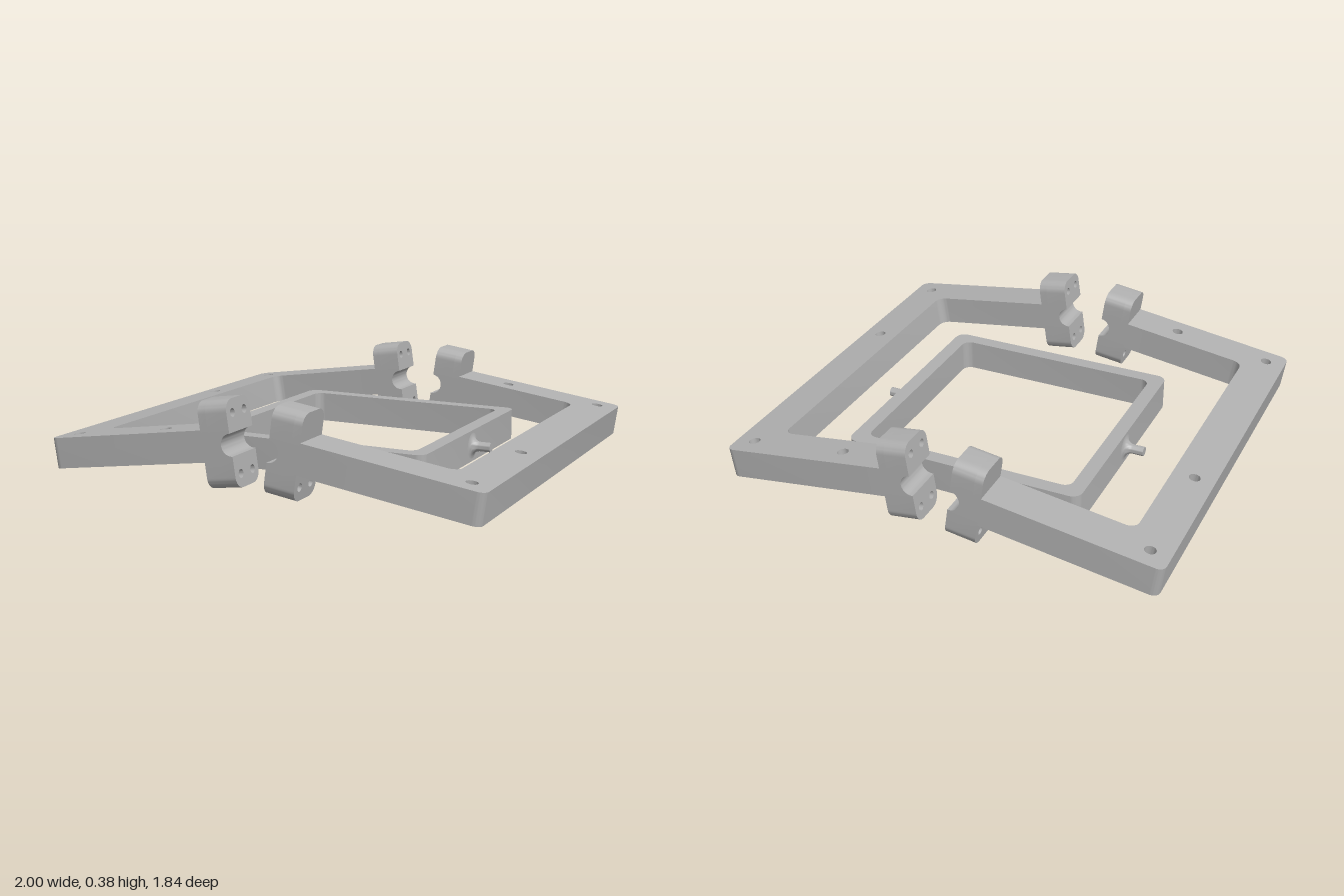
import * as THREE from 'three';
import { toCreasedNormals } from 'three/addons/utils/BufferGeometryUtils.js';

const TILT = Math.atan(0.144);
const THICK = 0.133;      // bar thickness
const MID = THICK / 2;    // clamp centre line
const BORE = 0.047;       // half-round notch radius
const U0 = 0.771, U1 = 0.907;  // clamp start and end along the arm

// Closed outline whose corners [x, y, radius] are rounded
function outline(points, Type = THREE.Shape) {
  const path = new Type();
  const n = points.length;
  points.forEach(([x, y, r = 0], i) => {
    const toward = ([px, py]) => {
      const d = Math.hypot(px - x, py - y);
      return [x + (px - x) * r / d, y + (py - y) * r / d];
    };
    const a = toward(points[(i + n - 1) % n]);
    const b = toward(points[(i + 1) % n]);
    if (i === 0) path.moveTo(...a); else path.lineTo(...a);
    if (r > 0) {
      // cubic approximation of a quarter circle
      const k = 0.552;
      path.bezierCurveTo(a[0] + (x - a[0]) * k, a[1] + (y - a[1]) * k,
        b[0] + (x - b[0]) * k, b[1] + (y - b[1]) * k, ...b);
    }
  });
  path.closePath();
  return path;
}

function rect(x0, x1, y0, y1, r, Type) {
  return outline([[x0, y0, r], [x1, y0, r], [x1, y1, r], [x0, y1, r]], Type);
}

function drill(shape, x, y, r) {
  const hole = new THREE.Path();
  hole.absarc(x, y, r, 0, Math.PI * 2, true);
  shape.holes.push(hole);
}

function extrude(shape, depth) {
  return new THREE.ExtrudeGeometry(shape, { depth, bevelEnabled: false, curveSegments: 10 });
}

export function createModel() {
  const model = new THREE.Group();
  const grey = new THREE.MeshStandardMaterial({ color: 0xb0b0b0 });
  grey.name = 'grey';

  function add(parent, name, geometry) {
    const mesh = new THREE.Mesh(toCreasedNormals(geometry, 0.6), grey);
    mesh.name = name;
    parent.add(mesh);
    return mesh;
  }

  // Clamp jaw pad above (sign 1) or below (sign -1) the notch
  function addPad(parent, name, sign, start, depth, drilled) {
    const near = MID + sign * BORE, far = MID + sign * 0.182;
    const pts = [[-0.09, near], [0.09, near], [0.09, far, 0.05], [-0.09, far, 0.05]];
    const shape = outline(sign > 0 ? pts : pts.reverse());
    if (drilled) for (const a of [-0.045, 0.045]) drill(shape, a, MID + sign * 0.125, 0.018);
    add(parent, name, extrude(shape, depth).rotateY(Math.PI / 2).translate(start, 0, 0));
  }

  function clamp() {
    const g = new THREE.Group();
    g.name = 'clamp';
    // Middle with the half-round notch
    const s = new THREE.Shape();
    s.moveTo(U0, MID - BORE);
    s.lineTo(U1, MID - BORE);
    s.absarc(U1, MID, BORE, -Math.PI / 2, Math.PI / 2, true);
    s.lineTo(U0, MID + BORE);
    s.closePath();
    add(g, 'clampNotch', extrude(s, 0.18).translate(0, 0, -0.09));
    // Upper jaw has blind holes, lower jaw is drilled through
    addPad(g, 'upperJawBack', 1, U0, 0.036, false);
    addPad(g, 'upperJawFront', 1, U0 + 0.036, 0.1, true);
    addPad(g, 'lowerJaw', -1, U0, U1 - U0, true);
    return g;
  }

  // Tilted U-shaped half frame with a clamp on each arm
  function halfFrame(name) {
    const half = new THREE.Group();
    half.name = name;
    const tilted = new THREE.Group();
    tilted.position.set(-0.98, 0.008, -0.0125);
    tilted.rotation.z = TILT;
    half.add(tilted);
    const o = 0.9075, i = 0.7275;
    const bar = outline([
      [0, -o, 0.035], [U0, -o], [U0, -i], [0.182, -i, 0.045],
      [0.182, i, 0.045], [U0, i], [U0, o], [0, o, 0.035],
    ]);
    for (const [u, z] of [[0.088, -0.8175], [0.088, -0.275], [0.088, 0.8175], [0.541, 0.8175]]) {
      drill(bar, u, -z, 0.025);
    }
    add(tilted, 'bar', extrude(bar, THICK).rotateX(-Math.PI / 2));
    for (const side of [-1, 1]) {
      const c = clamp();
      c.position.z = side * (o + i) / 2;
      tilted.add(c);
    }
    model.add(half);
    return half;
  }

  halfFrame('rightHalfFrame');
  halfFrame('leftHalfFrame').rotation.y = Math.PI;

  // Inner square frame
  const inner = new THREE.Group();
  inner.name = 'innerFrame';
  inner.position.set(0.02, 0, -0.065);
  model.add(inner);
  const R = 0.545;
  const ring = rect(-R, R, -R, R, 0.045);
  ring.holes.push(rect(-0.48, 0.48, -0.48, 0.48, 0.04, THREE.Path));
  add(inner, 'ring', extrude(ring, 0.14).rotateX(-Math.PI / 2));

  // Flared pivot pins on both sides
  const profile = [];
  for (let k = 0; k <= 6; k++) {
    const t = k / 6 * Math.PI / 2;
    profile.push(new THREE.Vector2(0.058 - 0.037 * Math.sin(t), 0.037 * (1 - Math.cos(t))));
  }
  profile.push(new THREE.Vector2(0.021, 0.088), new THREE.Vector2(0, 0.088));
  for (const side of [-1, 1]) {
    const pin = add(inner, 'pivotPin', new THREE.LatheGeometry(profile, 24));
    pin.position.set(side * R, 0.07, 0);
    pin.rotation.z = -side * Math.PI / 2;
  }
  return model;
}
